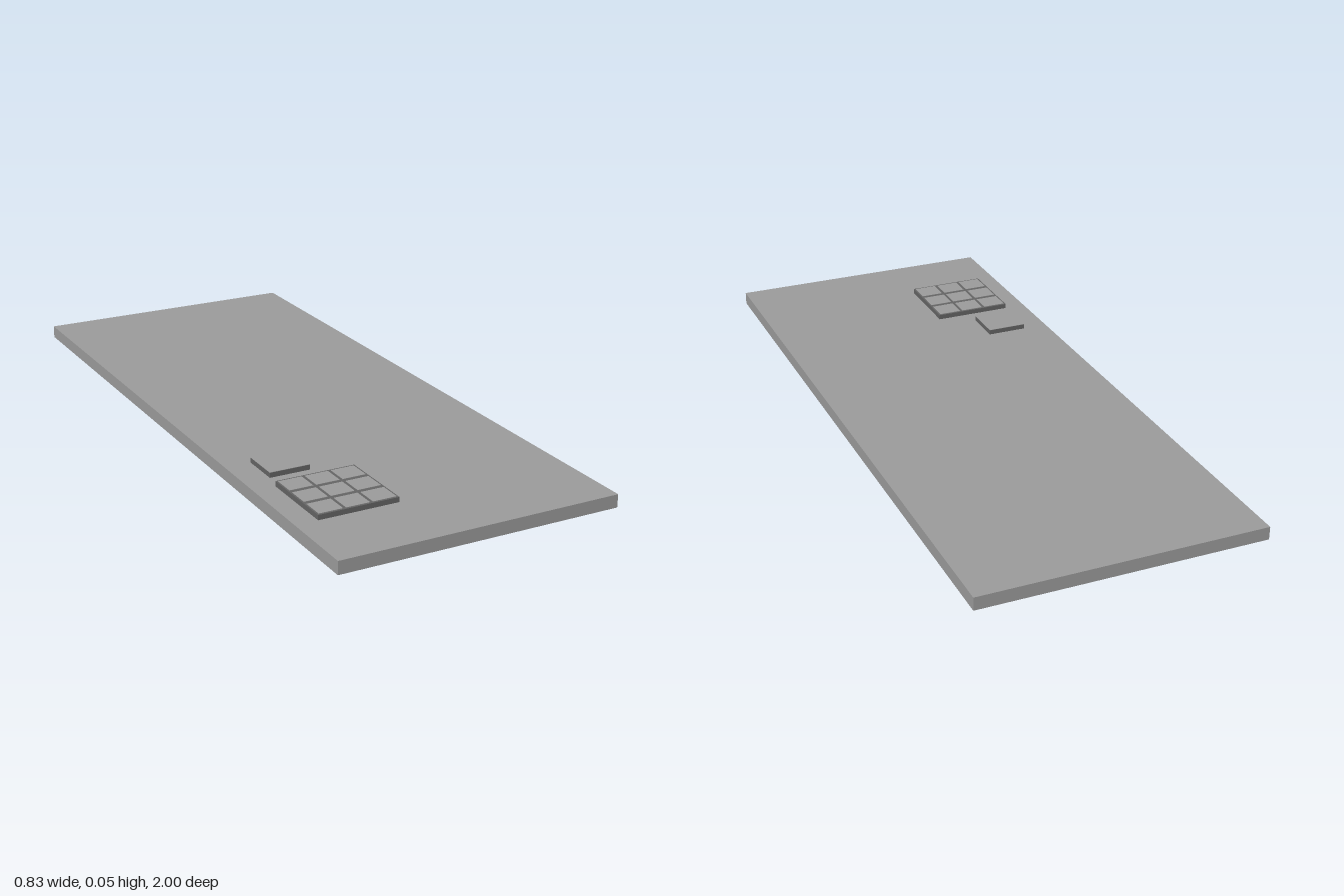
import * as THREE from 'three';

const light = new THREE.MeshStandardMaterial({ color: 0x9d9d9d });
const dark = new THREE.MeshStandardMaterial({ color: 0x656565 });

// Box given by its centre in plan and its bottom and top heights
function block(name, material, width, depth, x, z, bottom, top) {
  const mesh = new THREE.Mesh(new THREE.BoxGeometry(width, top - bottom, depth), material);
  mesh.name = name;
  mesh.position.set(x, (bottom + top) / 2, z);
  return mesh;
}

export function createModel() {
  const model = new THREE.Group();
  model.name = 'panel';
  const slabTop = 0.038, plateTop = 0.0525, capTop = 0.0535;

  // Main slab
  model.add(block('slab', light, 0.834, 2, 0, 0, 0, slabTop));

  // Single square button: dark body with a thin light cap
  model.add(block('buttonBody', dark, 0.121, 0.118, -0.2795, 0.426, slabTop, plateTop));
  model.add(block('buttonCap', light, 0.121, 0.118, -0.2795, 0.426, plateTop, capTop));

  // Keypad: dark plate that shows between nine thin light keys
  const keypad = new THREE.Group();
  keypad.name = 'keypad';
  keypad.position.set(-0.2325, 0, 0.659);
  keypad.add(block('keypadPlate', dark, 0.238, 0.238, 0, 0, slabTop, plateTop));
  for (let row = -1; row <= 1; row++) {
    for (let column = -1; column <= 1; column++) {
      keypad.add(block('key', light, 0.07, 0.066, column * 0.079, row * 0.08, plateTop, capTop));
    }
  }
  model.add(keypad);
  return model;
}
